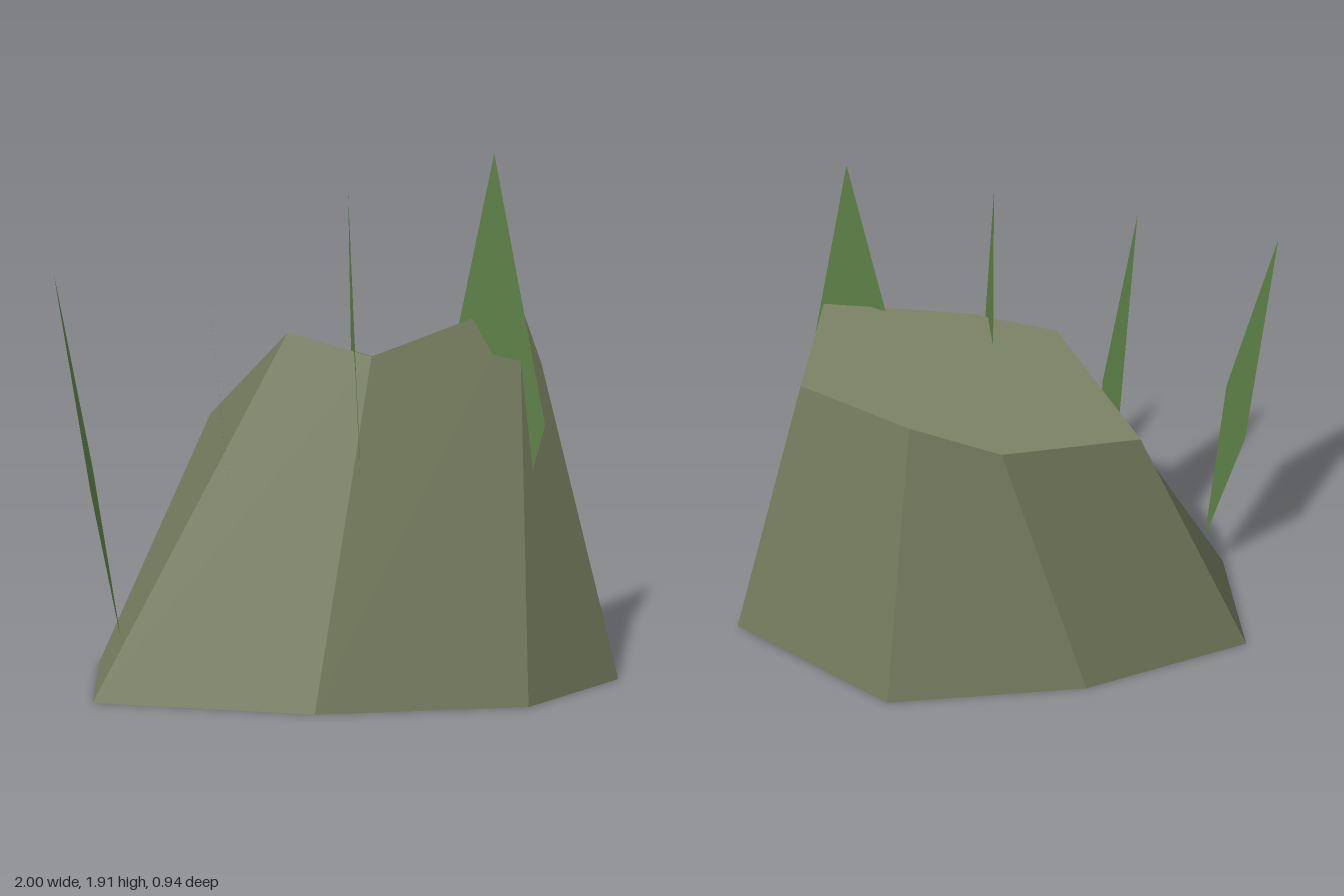
import * as THREE from 'three';

// Flat polygons, each fanned from its first corner and sharing one normal
function facesGeometry(faces) {
  const pos = [], nor = [];
  for (const f of faces) {
    const n = new THREE.Vector3();
    f.forEach((p, i) => n.add(p.clone().cross(f[(i + 1) % f.length])));
    n.normalize();
    for (let i = 1; i < f.length - 1; i++) {
      for (const p of [f[0], f[i], f[i + 1]]) {
        pos.push(p.x, p.y, p.z);
        nor.push(n.x, n.y, n.z);
      }
    }
  }
  const g = new THREE.BufferGeometry();
  g.setAttribute('position', new THREE.Float32BufferAttribute(pos, 3));
  g.setAttribute('normal', new THREE.Float32BufferAttribute(nor, 3));
  return g;
}

const points = (list) => list.map((p) => new THREE.Vector3(...p));

export function createModel() {
  const stone = new THREE.MeshStandardMaterial({ color: 0x757c5e });
  stone.name = 'mossy stone';
  const green = new THREE.MeshStandardMaterial({ color: 0x62874a, side: THREE.DoubleSide });
  green.name = 'leaf green';
  const model = new THREE.Group();
  model.name = 'rockWithLeaves';

  // Seven-sided boulder: a base ring joined to an uneven top ring
  const base = points([
    [1, 0, 0.11], [0.63, 0, 0.43], [-0.12, 0, 0.47], [-0.89, 0, 0.28],
    [-0.88, 0, -0.23], [-0.25, 0, -0.41], [0.48, 0, -0.4],
  ]);
  const top = points([
    [0.72, 1.14, 0], [0.62, 1.39, 0.13], [0.09, 1.22, 0.27], [-0.19, 1.27, 0.04],
    [-0.46, 0.94, -0.19], [0.07, 1.12, -0.475], [0.36, 1.07, -0.21],
  ]);
  const faces = base.map((a, i) => {
    const j = (i + 1) % base.length;
    return [top[i], top[j], base[j], a];
  });
  faces.push([...top].reverse(), base);
  const rock = new THREE.Mesh(facesGeometry(faces), stone);
  rock.name = 'rock';
  model.add(rock);

  // Kite-shaped leaves: the first faces the front, the others face sideways and lean out
  const z = 0.175, low = 0.2;
  const leaves = [
    { x: 0.52, y: 1.91, foot: 0.52, across: [0.19, 0] },
    { x: 0.015, y: 1.775, foot: 0.065, across: [0, 0.175] },
    { x: -0.49, y: 1.64, foot: -0.35, across: [0, 0.175] },
    { x: -1, y: 1.505, foot: -0.79, across: [0, 0.175] },
  ];
  leaves.forEach(({ x, y, foot, across: [dx, dz] }, i) => {
    const midX = THREE.MathUtils.lerp(foot, x, 0.44);
    const midY = THREE.MathUtils.lerp(low, y, 0.44);
    const kite = points([
      [x, y, z], [midX - dx, midY, z + dz], [foot, low, z], [midX + dx, midY, z - dz],
    ]);
    const leaf = new THREE.Mesh(facesGeometry([kite]), green);
    leaf.name = `leaf${i + 1}`;
    model.add(leaf);
  });
  return model;
}
